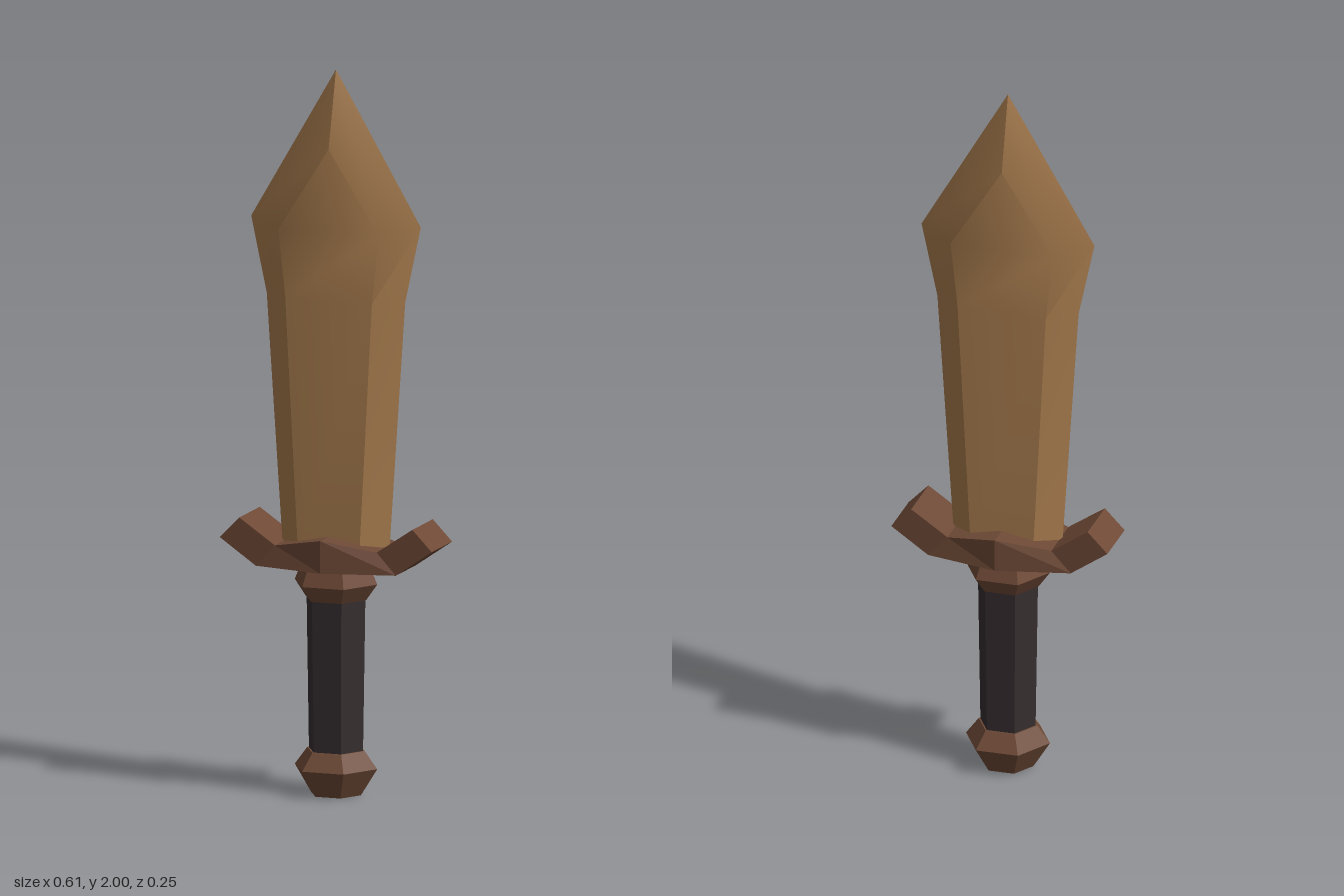
import * as THREE from 'three';
import { toCreasedNormals } from 'three/addons/utils/BufferGeometryUtils.js';

// Skin a list of equal-length point rings, capping both ends.
function loft(rings, crease) {
  const pos = [];
  const tri = (a, b, c) => {
    const area = new THREE.Triangle(a, b, c).getArea();
    if (area > 1e-7) for (const p of [a, b, c]) pos.push(p.x, p.y, p.z);
  };
  const n = rings[0].length;
  for (let r = 0; r < rings.length - 1; r++) {
    for (let i = 0; i < n; i++) {
      const j = (i + 1) % n;
      const a = rings[r][i], b = rings[r][j], c = rings[r + 1][i], d = rings[r + 1][j];
      tri(b, a, c);
      tri(b, c, d);
    }
  }
  const first = rings[0], last = rings[rings.length - 1];
  for (let i = 1; i < n - 1; i++) {
    tri(first[0], first[i], first[i + 1]);
    tri(last[0], last[i + 1], last[i]);
  }
  const geo = new THREE.BufferGeometry();
  geo.setAttribute('position', new THREE.Float32BufferAttribute(pos, 3));
  return toCreasedNormals(geo, crease);
}

// Six-sided turned piece with corners on the x axis, from [radius, y] pairs.
function hexTurned(profile) {
  const points = profile.map(([r, y]) => new THREE.Vector2(r, y));
  const geo = new THREE.LatheGeometry(points, 6, Math.PI / 2).toNonIndexed();
  geo.computeVertexNormals();
  return geo;
}

export function createModel() {
  const group = new THREE.Group();
  const material = (name, color) => {
    const m = new THREE.MeshStandardMaterial({ color });
    m.name = name;
    return m;
  };
  const bronze = material('bronze', 0xa87c4e);
  const brown = material('brown', 0x6e4936);
  const dark = material('dark leather', 0x352d2f);
  const v = (x, y, z) => new THREE.Vector3(x, y, z);
  const add = (name, geo, mat) => {
    const mesh = new THREE.Mesh(geo, mat);
    mesh.name = name;
    group.add(mesh);
  };

  // Blade: [edge half width, edge y, flat half width, flat y]
  const z = 0.058;
  const bladeRings = [
    [0.153, 0.66, 0.088, 0.66],
    [0.2, 1.37, 0.125, 1.37],
    [0.245, 1.58, 0.145, 1.56],
    [0, 2, 0, 1.79],
  ].map(([w, y, f, fy]) => [
    v(w, y, 0), v(f, fy, z), v(-f, fy, z),
    v(-w, y, 0), v(-f, fy, -z), v(f, fy, -z),
  ]);
  add('blade', loft(bladeRings, 0.6), bronze);

  // Guard: [top x, top y, bottom x, bottom y, half depth], swept along x
  const guardRings = [
    [-0.25, 0.76, -0.306, 0.702, 0.08],
    [-0.147, 0.69, -0.202, 0.63, 0.08],
    [0, 0.72, 0, 0.63, 0.124],
    [0.147, 0.69, 0.202, 0.63, 0.08],
    [0.25, 0.76, 0.306, 0.702, 0.08],
  ].map(([tx, ty, bx, by, d]) => [v(tx, ty, d), v(tx, ty, -d), v(bx, by, -d), v(bx, by, d)]);
  add('guard', loft(guardRings, 0.1), brown);

  // Handle pieces
  add('collar', hexTurned([[0, 0.54], [0.087, 0.54], [0.119, 0.585], [0.1, 0.632], [0, 0.632]]), brown);
  add('grip', hexTurned([[0.078, 0.11], [0.085, 0.55]]), dark);
  add('pommel', hexTurned([[0, 0], [0.072, 0], [0.119, 0.075], [0.083, 0.123], [0, 0.123]]), brown);

  return group;
}
